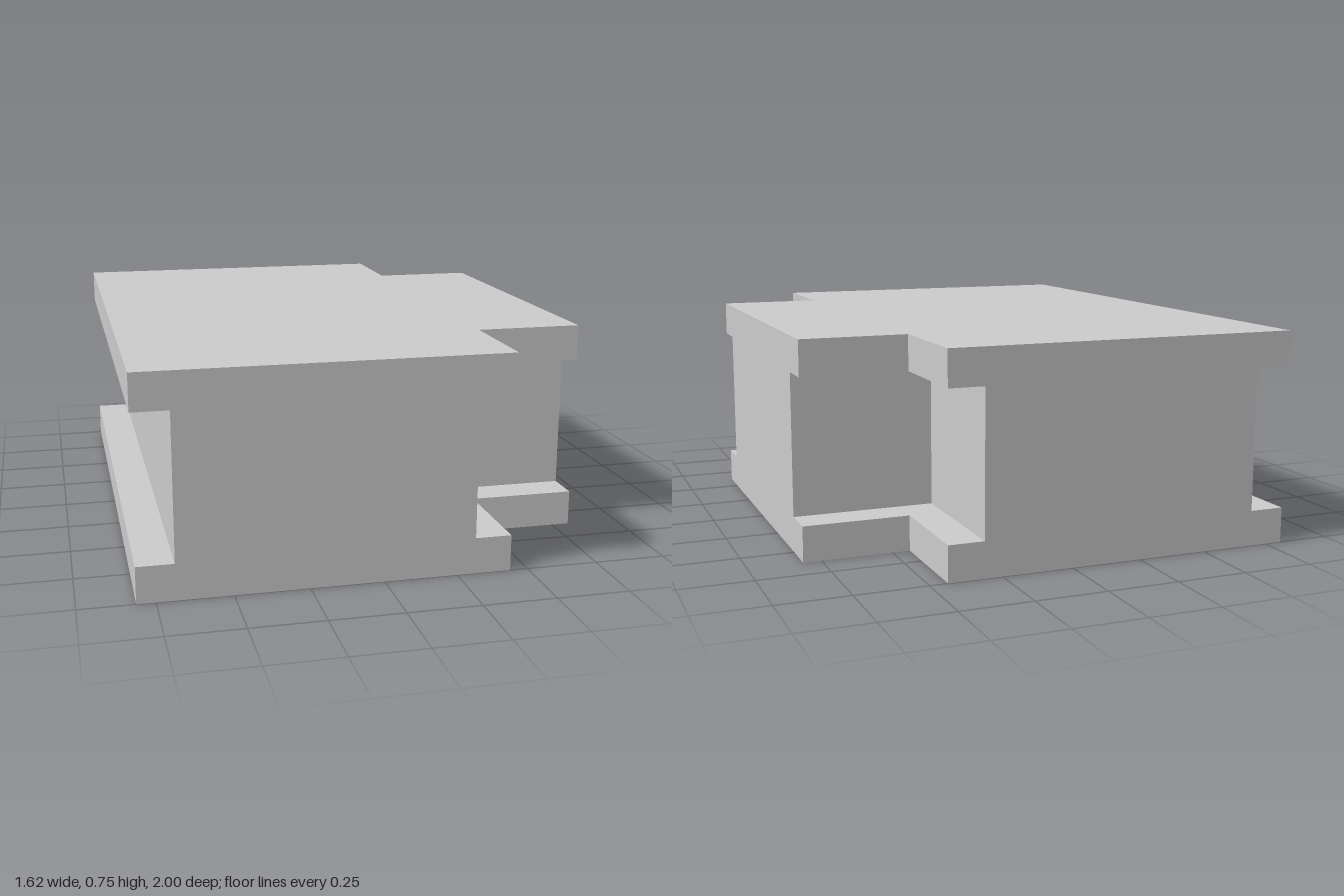
import * as THREE from 'three';

const material = new THREE.MeshStandardMaterial({ color: 0xcccccc, flatShading: true });

// Vertical prism: a block with both corners on the +x side notched out
function notchedBlock(name, xMin, notchX, notchZ, y, height) {
  const xMax = 0.8125, zMax = 1;
  const outline = [
    [xMin, -zMax], [notchX, -zMax], [notchX, -notchZ], [xMax, -notchZ],
    [xMax, notchZ], [notchX, notchZ], [notchX, zMax], [xMin, zMax],
  ].map(([x, z]) => new THREE.Vector2(x, z));
  const geometry = new THREE.ExtrudeGeometry(new THREE.Shape(outline), { depth: height, bevelEnabled: false });
  geometry.rotateX(-Math.PI / 2);
  const mesh = new THREE.Mesh(geometry, material);
  mesh.name = name;
  mesh.position.y = y;
  return mesh;
}

export function createModel() {
  const model = new THREE.Group();
  model.name = 'notchedBlock';
  model.add(
    // Flanges, with shallower corner notches
    notchedBlock('bottomFlange', -0.8125, 0.4375, 0.625, 0, 0.125),
    notchedBlock('topFlange', -0.8125, 0.4375, 0.625, 0.625, 0.125),
    // Core, recessed at the -x side and deeper in the corners
    notchedBlock('core', -0.6875, 0.3125, 0.5, 0.125, 0.5),
  );
  return model;
}
